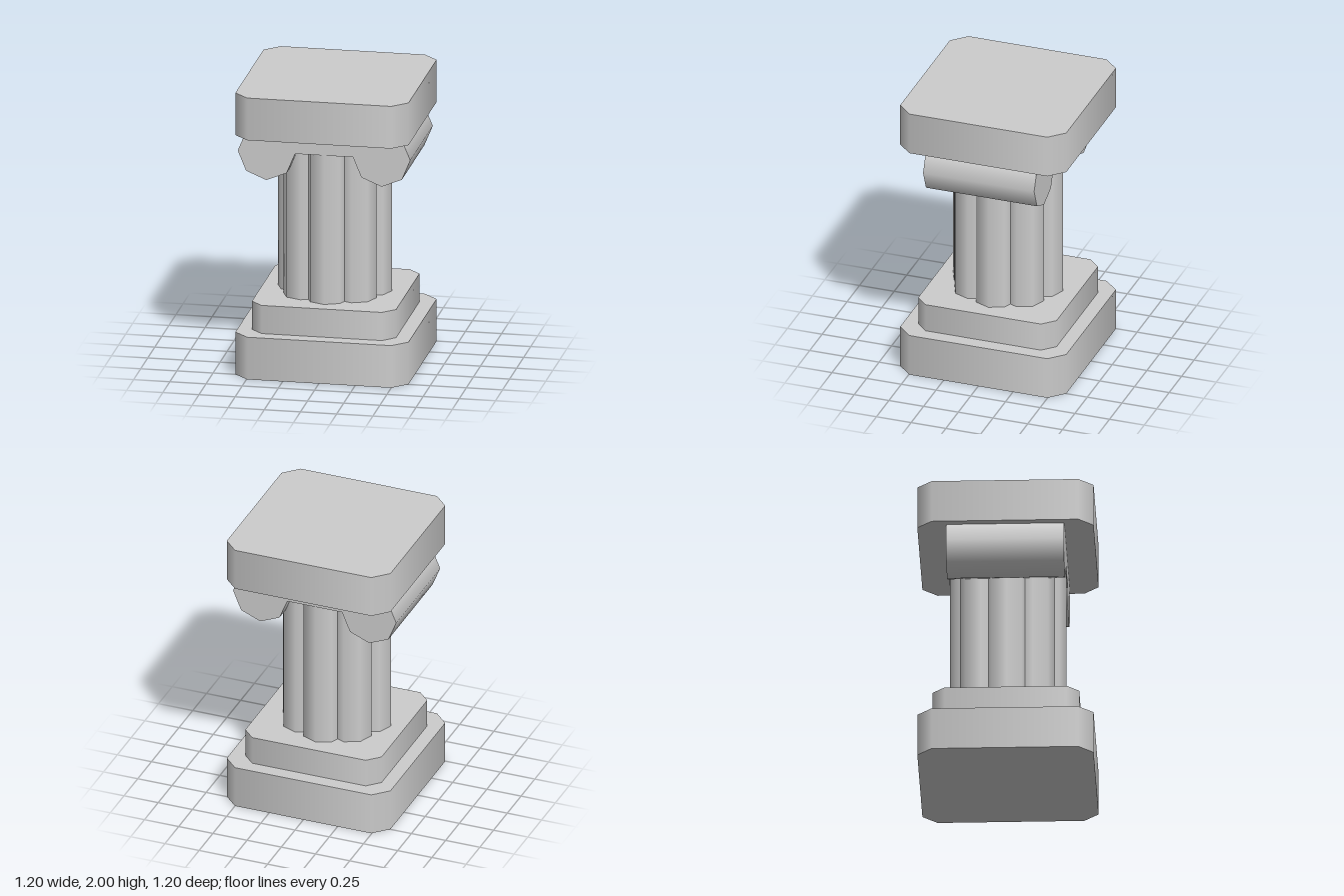
import * as THREE from 'three';

const stone = new THREE.MeshStandardMaterial({ color: 0xcccccc });
stone.name = 'stone';

function addMesh(parent, name, geometry, x, y, z) {
  const mesh = new THREE.Mesh(geometry, stone);
  mesh.name = name;
  mesh.position.set(x, y, z);
  parent.add(mesh);
  return mesh;
}

// Square slab with chamfered corners: an eight-sided drum pushed out to a square.
// The drum's radial normals stay, which gives softly shaded sides.
function slabGeometry(half, chamfer, height) {
  const geo = new THREE.CylinderGeometry(half, half, height, 8, 1, false, Math.PI / 8);
  const pos = geo.attributes.position;
  for (let i = 0; i < pos.count; i++) {
    const x = pos.getX(i), z = pos.getZ(i);
    if (Math.hypot(x, z) < 1e-4) continue; // cap centres
    const wide = Math.abs(x) > Math.abs(z);
    pos.setX(i, Math.sign(x) * (wide ? half : half - chamfer));
    pos.setZ(i, Math.sign(z) * (wide ? half - chamfer : half));
  }
  return geo;
}

export function createModel() {
  const model = new THREE.Group();
  model.name = 'column';

  // Stepped base and top slab
  addMesh(model, 'basePlinth', slabGeometry(0.598, 0.1, 0.3), 0.002, 0.15, 0);
  addMesh(model, 'baseStep', slabGeometry(0.498, 0.083, 0.2), 0, 0.4, 0);
  addMesh(model, 'topSlab', slabGeometry(0.598, 0.1, 0.3), 0.002, 1.85, 0);

  // Shaft made of a ring of eight overlapping lobes
  const shaft = new THREE.Group();
  shaft.name = 'shaft';
  shaft.position.set(-0.005, 0, 0.002);
  model.add(shaft);
  const lobe = new THREE.CylinderGeometry(0.145, 0.145, 1.09, 8);
  for (let i = 0; i < 8; i++) {
    const a = (i * Math.PI) / 4;
    const mesh = addMesh(shaft, 'shaftLobe', lobe, Math.sin(a) * 0.25, 1.035, Math.cos(a) * 0.25);
    mesh.rotation.y = a;
  }

  // Capital: a scroll at each side joined by a flat block
  const capital = new THREE.Group();
  capital.name = 'capital';
  capital.position.x = -0.003;
  model.add(capital);
  const scroll = new THREE.CylinderGeometry(0.198, 0.198, 0.8, 8).rotateX(Math.PI / 2);
  addMesh(capital, 'leftScroll', scroll, 0.398, 1.56, 0);
  addMesh(capital, 'rightScroll', scroll, -0.398, 1.56, 0);
  addMesh(capital, 'capitalBlock', new THREE.BoxGeometry(0.54, 0.15, 0.8), 0, 1.635, 0);

  return model;
}
